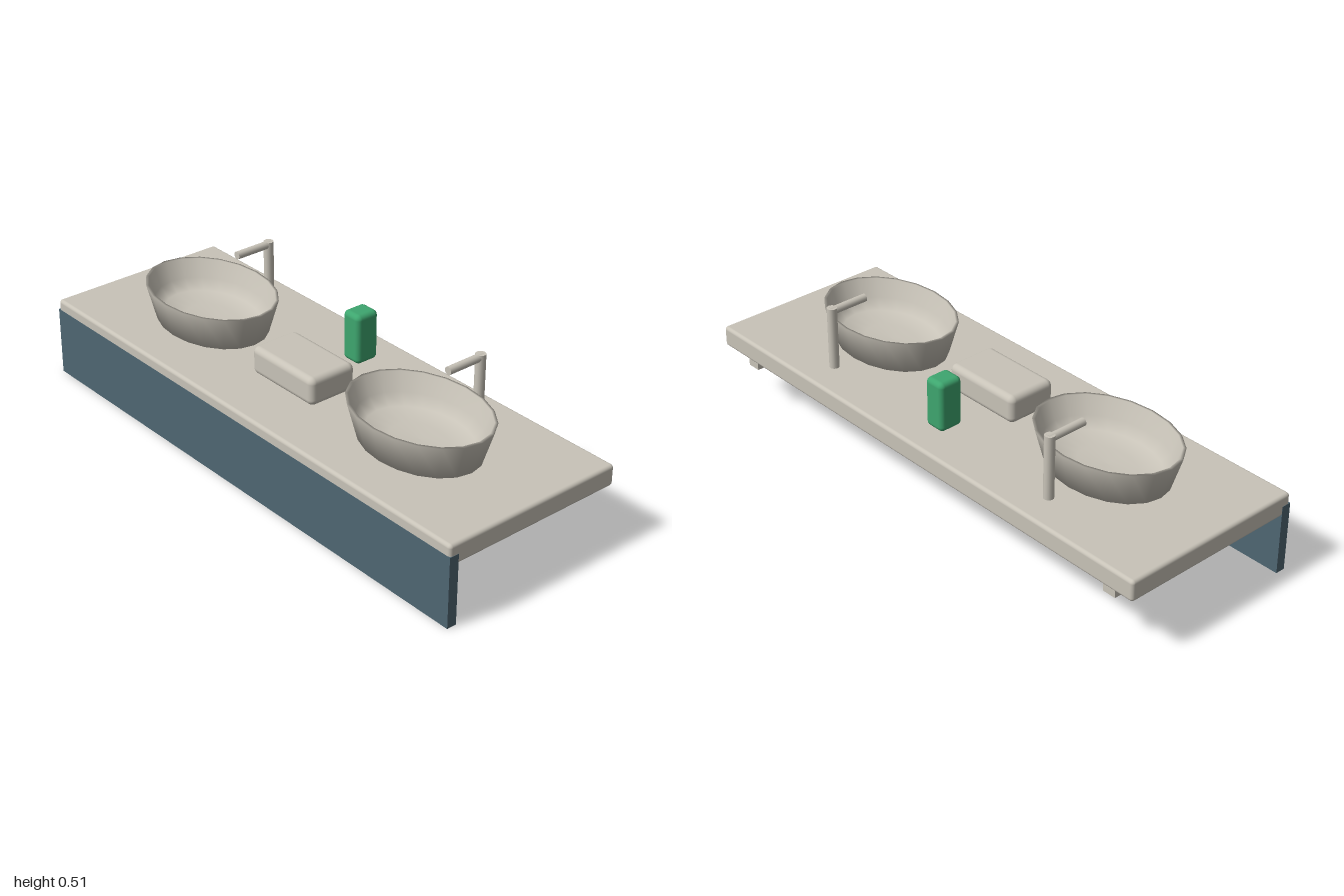
import * as THREE from 'three';
import { RoundedBoxGeometry } from 'three/addons/geometries/RoundedBoxGeometry.js';

const material = (name, color) => {
  const m = new THREE.MeshStandardMaterial({ color });
  m.name = name;
  return m;
};

export function createModel() {
  const stone = material('warm grey stone', 0xc8c3b8);
  const blue = material('slate blue', 0x4f6672);
  const green = material('soap green', 0x3ea66f);

  const model = new THREE.Group();
  model.name = 'doubleVanity';

  const add = (name, geometry, mat, x, y, z, parent = model) => {
    const mesh = new THREE.Mesh(geometry, mat);
    mesh.name = name;
    mesh.position.set(x, y, z);
    parent.add(mesh);
    return mesh;
  };

  const TOP = 0.288; // height of the counter surface

  // Counter slab with softened edges, and the front apron set flush into it
  add('counter', new RoundedBoxGeometry(1.998, 0.075, 0.684, 4, 0.012), stone, 0, TOP - 0.0375, 0);
  add('apron', new THREE.BoxGeometry(2, 0.25, 0.035), blue, 0, 0.125, 0.3255);

  // Basin profile at unit radius: foot, flared wall, rim, hollow
  const profile = [
    [0, 0], [0.85, 0], [1, 0.125], [0.955, 0.125], [0.87, 0.06], [0.74, 0.025], [0.4, 0.014], [0, 0.012],
  ].map(([r, y]) => new THREE.Vector2(r, y));
  const basinGeometry = new THREE.LatheGeometry(profile, 20);
  basinGeometry.scale(0.272, 1, 0.197);

  const postGeometry = new THREE.CylinderGeometry(0.0175, 0.0175, 0.225, 16);
  const spoutGeometry = new THREE.CylinderGeometry(0.014, 0.014, 0.146, 16).rotateX(Math.PI / 2);

  for (const side of [-1, 1]) {
    const prefix = side > 0 ? 'left' : 'right';

    // Support rail under each end
    add(prefix + 'Rail', new THREE.BoxGeometry(0.05, 0.05, 0.5), stone, side * 0.877, 0.188, -0.062);

    // Oval vessel basin
    add(prefix + 'Basin', basinGeometry, stone, side * 0.525, TOP, 0.025);

    // Tap: upright post and forward spout
    const tap = new THREE.Group();
    tap.name = prefix + 'Tap';
    tap.position.set(side * 0.525, TOP, -0.225);
    add('post', postGeometry, stone, 0, 0.1125, 0, tap);
    add('spout', spoutGeometry, stone, 0, 0.213, 0.066, tap);
    model.add(tap);
  }

  // Accessories between the basins
  add('tray', new RoundedBoxGeometry(0.306, 0.1, 0.184, 4, 0.022), stone, 0, TOP + 0.05, 0.056);
  add('soapBottle', new RoundedBoxGeometry(0.08, 0.18, 0.09, 4, 0.018), green, 0, TOP + 0.09, -0.19);

  return model;
}
